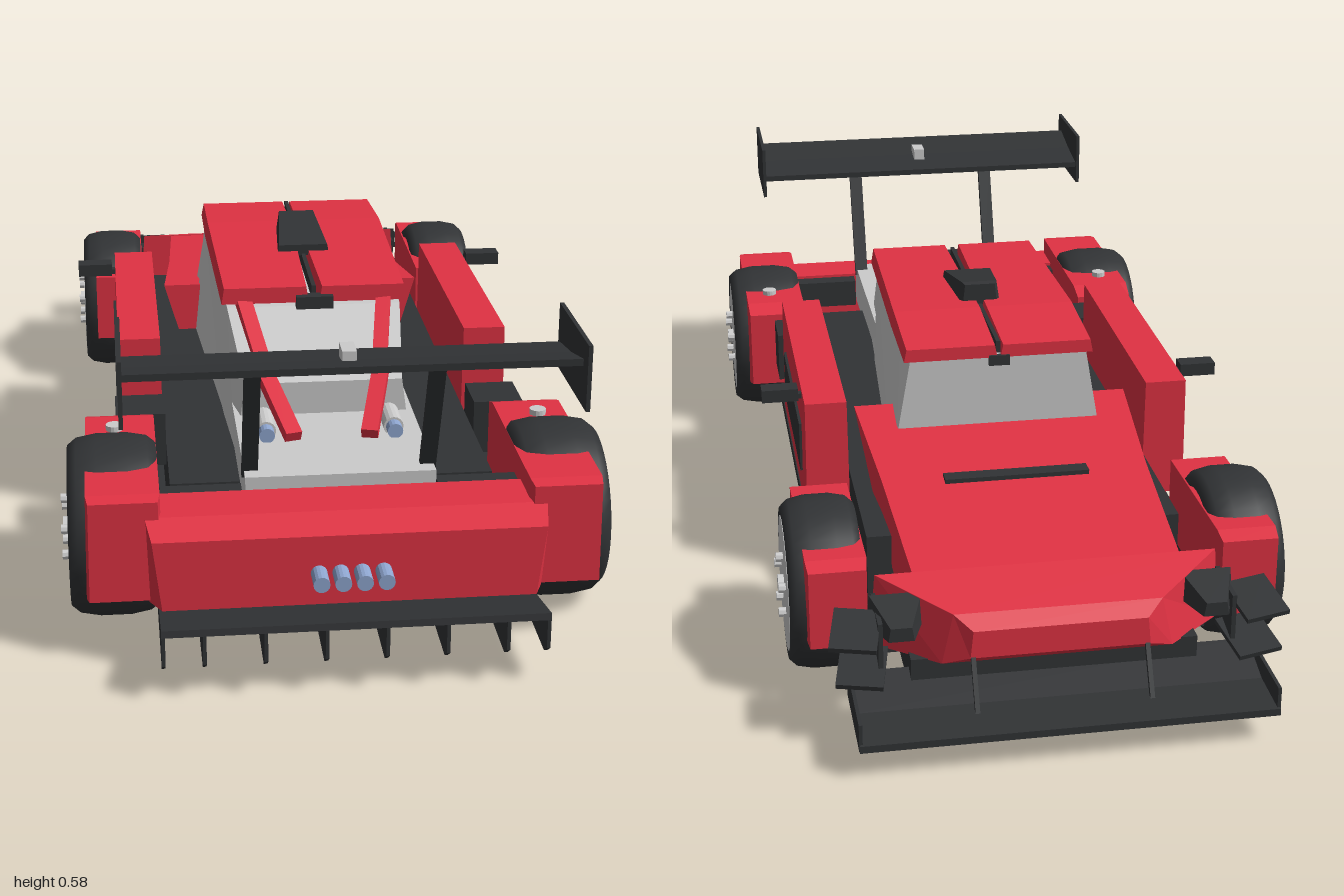
import * as THREE from 'three';

const paint = (color, flat = true) => new THREE.MeshStandardMaterial({ color, flatShading: flat, side: THREE.DoubleSide });
const RED = paint(0xe03243), BLACK = paint(0x313335), GREY = paint(0xcccccc), BLUE = paint(0x8fa6d0);
const TYRE = paint(0x313335, false);

export function createModel() {
  const car = new THREE.Group();
  car.name = 'raceCar';

  const add = (name, geo, mat, parent = car) => {
    const m = new THREE.Mesh(geo, mat);
    m.name = name;
    parent.add(m);
    return m;
  };
  // Box given by its extents
  const box = (name, mat, x0, x1, y0, y1, z0, z1) => {
    const m = add(name, new THREE.BoxGeometry(x1 - x0, y1 - y0, z1 - z0), mat);
    m.position.set((x0 + x1) / 2, (y0 + y1) / 2, (z0 + z1) / 2);
    return m;
  };
  // Solid through trapezoid sections [z, bottom half width, top half width, y0, y1], z rising
  const loft = (name, mat, sections, cx = 0) => {
    const pos = [];
    const rings = sections.map(([z, b, t, y0, y1]) =>
      [[cx - b, y0, z], [cx + b, y0, z], [cx + t, y1, z], [cx - t, y1, z]]);
    const quad = (a, b, c, d) => pos.push(...a, ...b, ...c, ...a, ...c, ...d);
    for (let i = 0; i < rings.length - 1; i++) {
      const p = rings[i], q = rings[i + 1];
      for (let k = 0; k < 4; k++) quad(p[k], p[(k + 1) % 4], q[(k + 1) % 4], q[k]);
    }
    quad(...[...rings[0]].reverse());
    quad(...rings[rings.length - 1]);
    const g = new THREE.BufferGeometry();
    g.setAttribute('position', new THREE.Float32BufferAttribute(pos, 3));
    g.computeVertexNormals();
    return add(name, g, mat);
  };
  // Rectangular bar between two points
  const bar = (name, mat, a, b, w, t) => {
    const A = new THREE.Vector3(...a), B = new THREE.Vector3(...b);
    const m = add(name, new THREE.BoxGeometry(w, t, A.distanceTo(B)), mat);
    m.position.copy(A).add(B).multiplyScalar(0.5);
    m.lookAt(B);
    return m;
  };
  const disc = (name, mat, r, h, x, y, z, axis, parent = car, n = 16) => {
    const g = new THREE.CylinderGeometry(r, r, h, n);
    if (axis === 'x') g.rotateZ(-Math.PI / 2);
    if (axis === 'z') g.rotateX(Math.PI / 2);
    add(name, g, mat, parent).position.set(x, y, z);
  };

  // Flat floor, wider between the wheels
  const half = [[0.31, 0.77], [0.31, 0.5], [0.37, 0.48], [0.37, -0.4], [0.31, -0.42], [0.31, -0.68]];
  const outline = [...half, ...half.map(([x, z]) => [-x, z]).reverse()];
  const floor = new THREE.ExtrudeGeometry(
    new THREE.Shape(outline.map(([x, z]) => new THREE.Vector2(x, z))), { depth: 0.025, bevelEnabled: false });
  floor.rotateX(Math.PI / 2);
  add('floor', floor, BLACK).position.y = 0.08;
  box('tub', BLACK, -0.29, 0.29, 0.07, 0.22, -0.55, 0.62);

  // Hood, nose and slot
  loft('hood', RED, [[-0.76, 0.235, 0.235, 0.13, 0.25], [-0.45, 0.25, 0.25, 0.17, 0.285], [-0.18, 0.235, 0.27, 0.2, 0.32]]);
  loft('nose', RED, [[-0.885, 0.155, 0.15, 0.15, 0.2], [-0.86, 0.2, 0.18, 0.13, 0.222], [-0.755, 0.31, 0.3, 0.12, 0.252]]);
  box('hoodSlot', BLACK, -0.135, 0.135, 0.26, 0.29, -0.48, -0.45);

  // Cabin, engine deck and roof
  loft('cabin', GREY, [[-0.275, 0.2, 0.17, 0.28, 0.45], [-0.2, 0.205, 0.18, 0.22, 0.455],
    [0.3, 0.175, 0.165, 0.2, 0.435], [0.48, 0.165, 0.145, 0.2, 0.35]]);
  box('engineDeck', GREY, -0.165, 0.165, 0.2, 0.288, 0.3, 0.755);
  for (const s of [-1, 1])
    loft('roofPanel', RED, [[-0.28, 0.09, 0.085, 0.445, 0.47], [-0.1, 0.092, 0.086, 0.453, 0.482],
      [0.31, 0.083, 0.078, 0.445, 0.476]], s * 0.093);
  box('roofSeam', BLACK, -0.004, 0.004, 0.45, 0.474, -0.27, 0.3);
  loft('roofScoop', BLACK, [[-0.06, 0.035, 0.03, 0.47, 0.515], [-0.05, 0.042, 0.035, 0.47, 0.518],
    [0.1, 0.052, 0.048, 0.47, 0.492]]);
  box('rearCamera', BLACK, -0.035, 0.035, 0.436, 0.46, 0.3, 0.325);
  box('frontCamera', BLACK, -0.02, 0.02, 0.43, 0.45, -0.285, -0.265);

  // Rear bumper, exhausts and diffuser
  loft('rearBumper', RED, [[0.755, 0.33, 0.33, 0.12, 0.265], [0.85, 0.335, 0.34, 0.11, 0.265],
    [0.905, 0.315, 0.33, 0.12, 0.245]]);
  for (let i = 0; i < 4; i++) disc('exhaust', BLUE, 0.014, 0.07, -0.054 + i * 0.036, 0.178, 0.915, 'z');
  bar('diffuserPlate', BLACK, [0, 0.075, 0.76], [0, 0.128, 1.0], 0.64, 0.012);
  const finShape = new THREE.Shape([[0.77, 0.06], [0.98, 0.055], [1.0, 0.07], [1.0, 0.128], [0.77, 0.08]]
    .map(([z, y]) => new THREE.Vector2(z, y)));
  const fin = new THREE.ExtrudeGeometry(finShape, { depth: 0.006, bevelEnabled: false });
  fin.rotateY(-Math.PI / 2);
  for (const x of [-0.317, -0.25, -0.15, -0.05, 0.05, 0.15, 0.25, 0.317])
    add('diffuserFin', fin, BLACK).position.x = x + 0.003;

  // Rear wing
  loft('rearWing', BLACK, [[0.755, 0.372, 0.372, 0.505, 0.517], [0.84, 0.372, 0.372, 0.512, 0.53],
    [0.925, 0.372, 0.372, 0.538, 0.55]]);
  box('wingLight', GREY, -0.012, 0.012, 0.525, 0.55, 0.81, 0.855);

  // Front splitter
  loft('splitter', BLACK, [[-0.995, 0.355, 0.355, 0.055, 0.068], [-0.9, 0.355, 0.355, 0.055, 0.072],
    [-0.81, 0.345, 0.345, 0.085, 0.1]]);

  // Wheel with rounded tyre, dished rim and studs; outer face towards +x
  const wheel = (r, w) => {
    const g = new THREE.Group();
    g.name = 'wheel';
    const h = w / 2;
    const profile = [[0, -h * 0.8], [0.74 * r, -h * 0.85], [0.78 * r, -h], [0.88 * r, -h], [0.96 * r, -h * 0.8], [r, -h * 0.35],
      [r, h * 0.35], [0.96 * r, h * 0.8], [0.88 * r, h], [0.78 * r, h], [0.76 * r, h * 0.8]]
      .map(p => new THREE.Vector2(...p));
    add('tyre', new THREE.LatheGeometry(profile, 40).rotateZ(-Math.PI / 2), TYRE, g);
    disc('rim', GREY, 0.78 * r, 0.02, h * 0.86, 0, 0, 'x', g, 40);
    disc('hub', GREY, 0.016, 0.03, h * 0.95, 0, 0, 'x', g, 12);
    for (let i = 0; i < 5; i++) {
      const a = i * Math.PI * 0.4 + Math.PI / 2;
      disc('wheelStud', GREY, 0.009, 0.03, h * 0.98, 0.052 * Math.sin(a), 0.052 * Math.cos(a), 'x', g, 8);
    }
    return g;
  };

  for (const s of [-1, 1]) {
    // Box between two distances from the centre line, on side s
    const sideBox = (name, mat, a, b, ...yz) => box(name, mat, Math.min(s * a, s * b), Math.max(s * a, s * b), ...yz);

    for (const [r, w, x, z] of [[0.16, 0.155, 0.391, 0.652], [0.155, 0.13, 0.378, -0.583]]) {
      const wh = wheel(r, w);
      wh.position.set(s * x, r + 0.004, z);
      if (s < 0) wh.rotation.y = Math.PI;
      car.add(wh);
    }
    // Fenders
    loft('rearFender', RED, [[0.45, 0.06, 0.06, 0.12, 0.285], [0.49, 0.065, 0.062, 0.11, 0.3],
      [0.83, 0.065, 0.062, 0.11, 0.3], [0.855, 0.06, 0.058, 0.115, 0.295]], s * 0.375);
    loft('frontFender', RED, [[-0.76, 0.05, 0.05, 0.12, 0.265], [-0.73, 0.053, 0.053, 0.12, 0.275],
      [-0.41, 0.053, 0.053, 0.12, 0.265]], s * 0.363);
    disc('fuelCap', GREY, 0.015, 0.012, s * 0.385, 0.304, 0.55, 'y');

    // Doors, mirrors and side boxes
    loft('door', RED, [[-0.27, 0.042, 0.04, 0.13, 0.368], [0.29, 0.042, 0.04, 0.13, 0.374]], s * 0.333);
    sideBox('doorPanel', BLACK, 0.36, 0.379, 0.19, 0.29, -0.18, 0.205);
    sideBox('mirror', BLACK, 0.38, 0.45, 0.349, 0.374, -0.205, -0.17);
    sideBox('mirrorArm', BLACK, 0.33, 0.385, 0.35, 0.36, -0.195, -0.18);
    sideBox('sideIntake', BLACK, 0.29, 0.382, 0.175, 0.278, 0.335, 0.433);

    // Rear window bars and engine deck fittings
    bar('upperPillar', RED, [s * 0.135, 0.45, 0.29], [s * 0.107, 0.367, 0.45], 0.028, 0.02);
    bar('lowerPillar', RED, [s * 0.107, 0.362, 0.465], [s * 0.068, 0.298, 0.61], 0.03, 0.02);
    disc('intakeTrumpet', GREY, 0.018, 0.07, s * 0.115, 0.3, 0.55, 'z');
    disc('trumpetMouth', BLUE, 0.014, 0.025, s * 0.115, 0.3, 0.595, 'z');
    sideBox('rearBrace', BLACK, 0.17, 0.31, 0.2, 0.26, 0.715, 0.752);

    // Wing supports and end plates
    bar('wingStrut', BLACK, [s * 0.155, 0.275, 0.715], [s * 0.155, 0.515, 0.81], 0.028, 0.012);
    sideBox('wingEndPlate', BLACK, 0.37, 0.377, 0.47, 0.583, 0.745, 0.955);

    // Headlights, canards and splitter supports
    loft('headlight', BLACK, [[-0.88, 0.022, 0.018, 0.19, 0.215], [-0.8, 0.05, 0.045, 0.19, 0.238]], s * 0.27);
    for (const [y, x] of [[0.205, 0.345], [0.135, 0.335]]) {
      const c = bar('canard', BLACK, [s * x, y - 0.012, -0.905], [s * x, y + 0.012, -0.81], 0.08, 0.009);
      c.rotateY(-s * 0.2);
    }
    sideBox('canardPost', BLACK, 0.3, 0.308, 0.125, 0.22, -0.87, -0.76);
    sideBox('splitterEndPlate', BLACK, 0.35, 0.356, 0.055, 0.105, -0.99, -0.81);
    bar('splitterStay', BLACK, [s * 0.15, 0.065, -0.93], [s * 0.15, 0.17, -0.87], 0.008, 0.008);
  }
  box('splitterMount', BLACK, -0.25, 0.25, 0.06, 0.13, -0.84, -0.66);
  return car;
}
